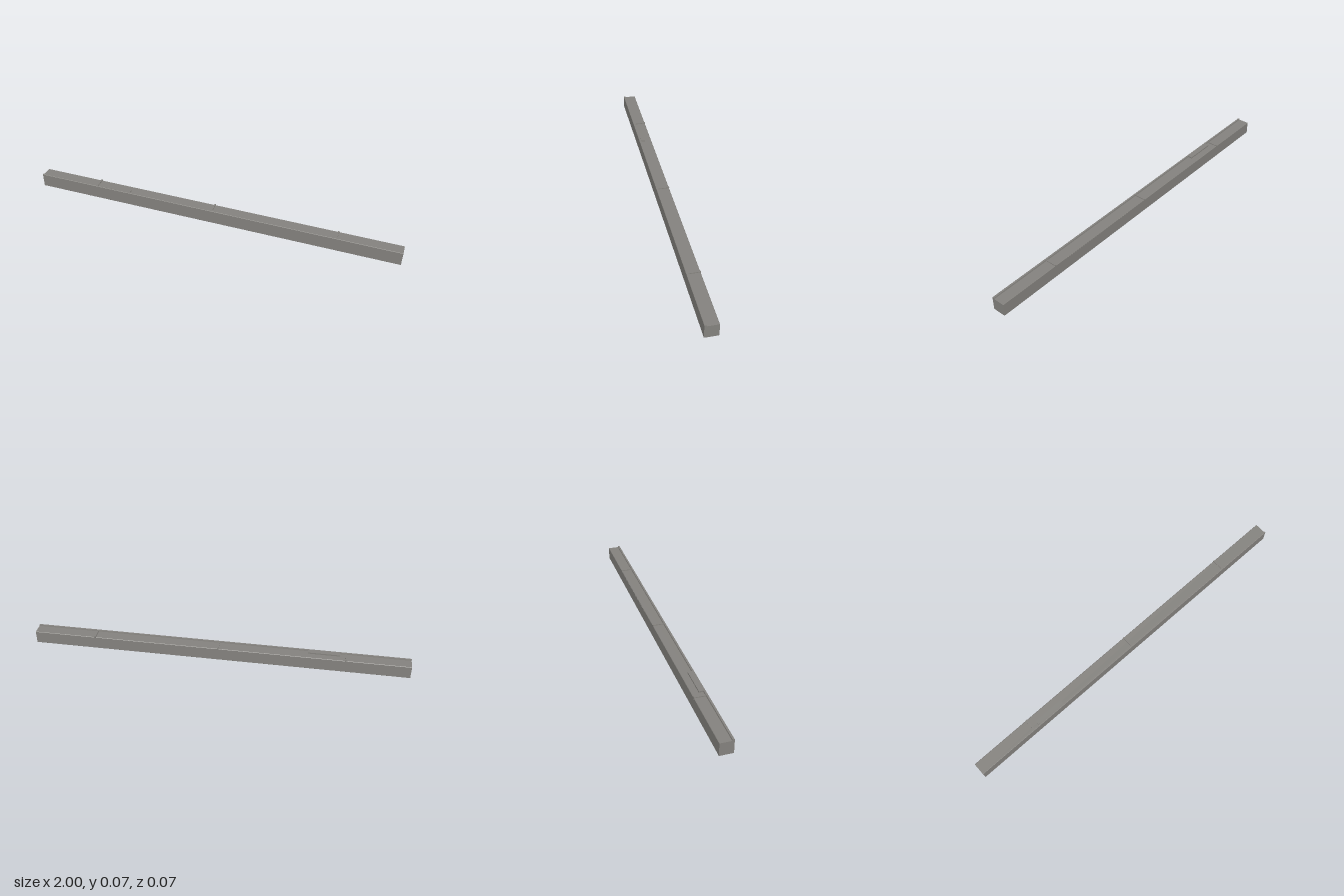
import * as THREE from 'three';

const material = new THREE.MeshStandardMaterial({ color: 0x84827e, flatShading: true });

export function createModel() {
  const model = new THREE.Group();

  const box = (name, x0, x1, y0, y1, z0, z1) => {
    const mesh = new THREE.Mesh(new THREE.BoxGeometry(x1 - x0, y1 - y0, z1 - z0), material);
    mesh.position.set((x0 + x1) / 2, (y0 + y1) / 2, (z0 + z1) / 2);
    mesh.name = name;
    model.add(mesh);
  };

  // Long beam: cross-section (z, y) with a raised front lip and a lower rear shelf
  const section = new THREE.Shape([
    [-0.034, 0.001], [-0.033, 0], [0.034, 0], [0.035, 0.001], [0.035, 0.073], [0.033, 0.0745],
    [0.025, 0.0745], [0.024, 0.068], [-0.032, 0.068], [-0.034, 0.066],
  ].map(([z, y]) => new THREE.Vector2(-z, y)));
  const beamGeometry = new THREE.ExtrudeGeometry(section, { depth: 2, bevelEnabled: false });
  beamGeometry.rotateY(Math.PI / 2).translate(-1, 0, 0);
  const beam = new THREE.Mesh(beamGeometry, material);
  beam.name = 'beam';
  model.add(beam);

  // Three clips wrapping over the shelf and down the rear edge
  for (const x of [-0.667, 0, 0.667]) {
    box('clipTop', x - 0.004, x + 0.004, 0.067, 0.0725, -0.035, 0.025);
    box('clipHook', x - 0.004, x + 0.004, 0.058, 0.0725, -0.035, -0.033);
  }

  // Raised plate on the shelf, flush with the lip
  box('topPlate', -0.635, -0.47, 0.067, 0.0747, 0.002, 0.0255);

  // Thin cover on the rear face
  box('rearCover', 0.13, 0.58, 0.02, 0.064, -0.0347, -0.033);

  return model;
}
